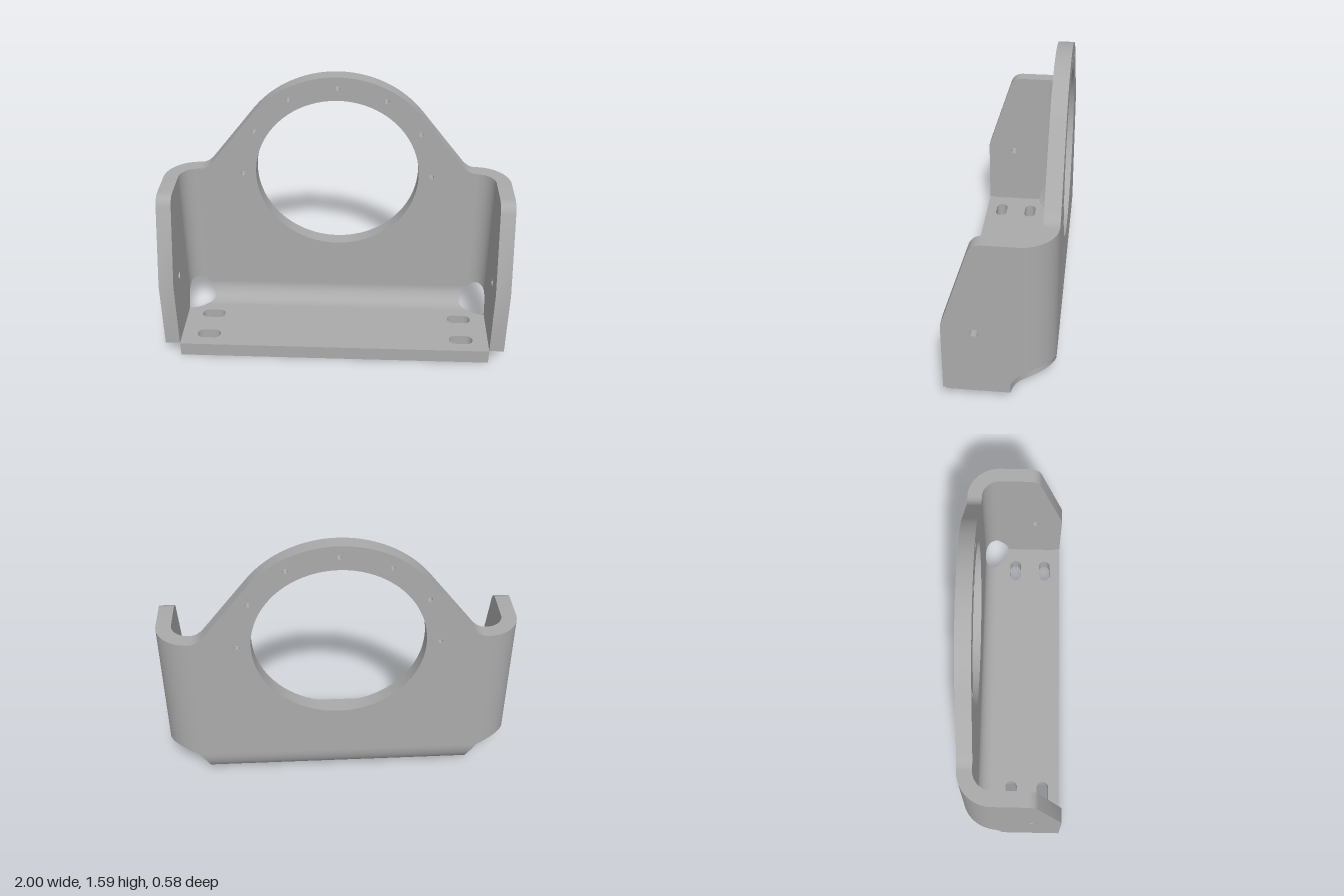
import * as THREE from 'three';
import { toCreasedNormals } from 'three/addons/utils/BufferGeometryUtils.js';

const T = 0.085;                    // sheet thickness
const RO = 0.19, RI = RO - T;       // bend radii
const BX = 0.81, BY = 0.19, BZ = -0.1; // where the flat sheet ends and the bends start
const RELIEF = 0.16;                // radius of the corner relief cut
const RAD = Math.PI / 180;

const steel = new THREE.MeshStandardMaterial({ color: 0xaaaaaa });
steel.name = 'grey steel';

function addMesh(group, name, geometry) {
  const mesh = new THREE.Mesh(geometry, steel);
  mesh.name = name;
  group.add(mesh);
}

function plate(shape) {
  const g = new THREE.ExtrudeGeometry(shape, { depth: T, bevelEnabled: false, curveSegments: 24 });
  return toCreasedNormals(g, 0.5);
}

function roundHole(x, y, r) {
  return new THREE.Path().absarc(x, y, r, 0, Math.PI * 2, true);
}

function slotHole(x, y, halfLength, r) {
  const p = new THREE.Path();
  p.absarc(x + halfLength - r, y, r, -Math.PI / 2, Math.PI / 2, false);
  p.absarc(x - halfLength + r, y, r, Math.PI / 2, Math.PI * 1.5, false);
  p.closePath();
  return p;
}

// Height of the relief circle across a bend, measured along the middle of the sheet
function reliefAt(a) {
  const s = (RO + RI) / 2 * (a - Math.PI / 4);
  return Math.sqrt(RELIEF * RELIEF - s * s);
}

// Quarter bend: a four-cornered section swept through 90 degrees, with varying ends
function bend(point, lo, hi, flip) {
  const N = 20, pos = [], idx = [];
  for (let f = 0; f < 4; f++) {
    const base = pos.length / 3;
    for (let i = 0; i <= N; i++) {
      const a = i / N * Math.PI / 2;
      const ring = [[RI, lo(a)], [RI, hi(a)], [RO, hi(a)], [RO, lo(a)]];
      for (const [r, s] of [ring[f], ring[(f + 1) % 4]]) pos.push(...point(a, r, s));
    }
    for (let i = 0; i < N; i++) {
      const p = base + i * 2, q = p + 1, p2 = p + 2, q2 = p + 3;
      if (flip) idx.push(p, q, p2, q, q2, p2);
      else idx.push(p, p2, q, q, p2, q2);
    }
  }
  const g = new THREE.BufferGeometry();
  g.setAttribute('position', new THREE.Float32BufferAttribute(pos, 3));
  g.setIndex(idx);
  g.computeVertexNormals();
  return g;
}

function backPlate() {
  const cy = 0.975, R = 0.615, a = 38.5 * RAD;
  const s = new THREE.Shape();
  s.moveTo(-BX, BY);
  s.lineTo(BX, BY);
  s.lineTo(BX, 1);
  s.quadraticCurveTo(0.766, 1, 0.73, 1.043);
  s.absarc(0, cy, R, a, Math.PI - a, false);
  s.lineTo(-0.73, 1.043);
  s.quadraticCurveTo(-0.766, 1, -BX, 1);
  s.closePath();
  // large bore and the ring of small bolt holes
  s.holes.push(new THREE.Path().absellipse(0, cy, 0.475, 0.475, 0, Math.PI * 2, true));
  for (let i = 0; i <= 6; i++) {
    const t = i * 30 * RAD;
    s.holes.push(roundHole(0.55 * Math.cos(t), cy + 0.55 * Math.sin(t), 0.014));
  }
  const g = new THREE.ExtrudeGeometry(s, { depth: T, bevelEnabled: false, curveSegments: 40 });
  return toCreasedNormals(g, 0.5).translate(0, 0, BZ - RO);
}

// Side wall drawn in z (across) and y (up)
function sideWall(side) {
  const s = new THREE.Shape();
  s.moveTo(0.29, 0.09);
  s.lineTo(0.29, 0.5);
  s.lineTo(0.145, 0.945);
  s.quadraticCurveTo(0.128, 0.995, 0.075, 1);
  s.lineTo(BZ, 1);
  s.lineTo(BZ, BY);
  s.absarc(-0.215, 0.08, RELIEF, 44 * RAD, 3.6 * RAD, true);
  s.closePath();
  s.holes.push(roundHole(0.12, 0.465, 0.022));
  return plate(s).rotateY(-Math.PI / 2).translate(side > 0 ? 1 : -1 + T, 0, 0);
}

// Floor drawn in x (across) and -z (up), then laid flat
function floorPlate() {
  const s = new THREE.Shape();
  s.moveTo(-0.814, -BZ);
  s.lineTo(0.814, -BZ);
  s.absarc(0.925, 0.215, RELIEF, 226 * RAD, 266.4 * RAD, false);
  s.lineTo(0.915, -0.29);
  s.lineTo(-0.915, -0.29);
  s.absarc(-0.925, 0.215, RELIEF, 273.6 * RAD, 314 * RAD, false);
  s.closePath();
  for (const x of [-0.755, 0.755])
    for (const z of [-0.005, 0.19]) s.holes.push(slotHole(x, -z, 0.07, 0.036));
  return plate(s).rotateX(-Math.PI / 2);
}

export function createModel() {
  const model = new THREE.Group();
  model.name = 'mountingBracket';

  addMesh(model, 'backPlate', backPlate());
  addMesh(model, 'floorPlate', floorPlate());

  // bend between back plate and floor
  const endX = a => 0.925 - reliefAt(a);
  addMesh(model, 'floorBend', bend(
    (a, r, s) => [s, BY - r * Math.sin(a), BZ - r * Math.cos(a)],
    a => -endX(a), endX, false));

  // side walls and their bends
  for (const side of [1, -1]) {
    const label = side > 0 ? 'left' : 'right';
    addMesh(model, label + 'SideWall', sideWall(side));
    addMesh(model, label + 'SideBend', bend(
      (a, r, s) => [side * (BX + r * Math.sin(a)), s, BZ - r * Math.cos(a)],
      a => 0.08 + reliefAt(a), () => 1, side < 0));
  }
  return model;
}
